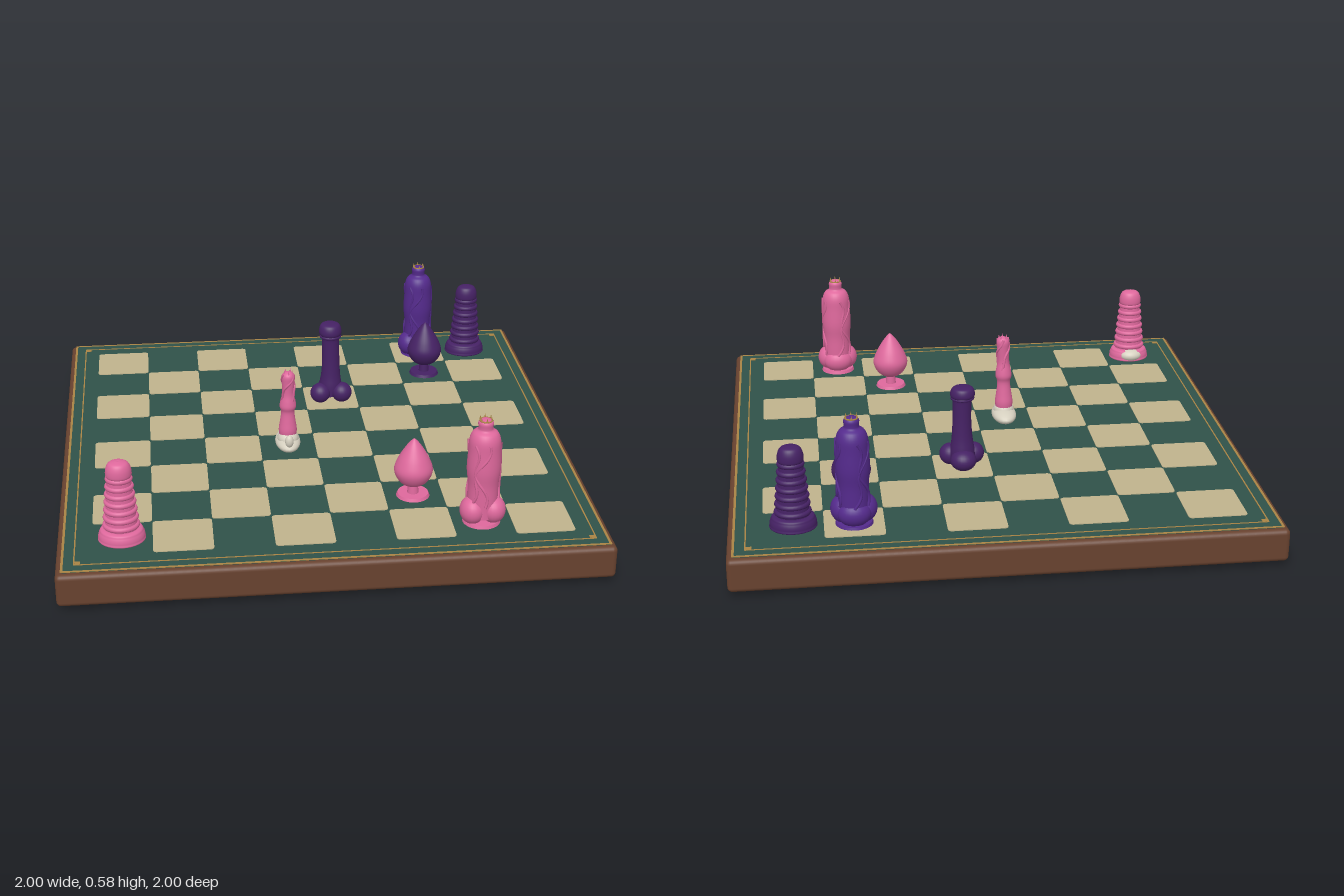
import * as THREE from 'three';
import { RoundedBoxGeometry } from 'three/addons/geometries/RoundedBoxGeometry.js';

const mat = (name, color) => Object.assign(new THREE.MeshStandardMaterial({ color }), { name });

export function createModel() {
  const root = new THREE.Group();
  root.name = 'gameBoardSet';
  const wood = mat('walnut', 0x68422f);
  const green = mat('boardGreen', 0x305249);
  const cream = mat('squareCream', 0xbfb28c);
  const gold = mat('gold', 0xa98445);
  const rubber = mat('footRubber', 0x24352f);
  const pink = mat('pink', 0xde689c);
  const purple = mat('darkPurple', 0x452164);
  const violet = mat('violet', 0x542a8c);
  const ivory = mat('ivory', 0xd6d0c0);

  const add = (parent, name, geo, m, x = 0, y = 0, z = 0) => {
    const mesh = new THREE.Mesh(geo, m);
    mesh.name = name;
    mesh.position.set(x, y, z);
    parent.add(mesh);
    return mesh;
  };
  const roundedSquare = (s, r) => {
    const h = s / 2, shape = new THREE.Shape();
    shape.absarc(h - r, h - r, r, 0, Math.PI / 2);
    shape.absarc(r - h, h - r, r, Math.PI / 2, Math.PI);
    shape.absarc(r - h, r - h, r, Math.PI, Math.PI * 1.5);
    shape.absarc(h - r, r - h, r, Math.PI * 1.5, Math.PI * 2);
    return shape;
  };
  const slab = (shape, depth) =>
    new THREE.ExtrudeGeometry(shape, { depth, bevelEnabled: false, curveSegments: 4 }).rotateX(-Math.PI / 2);

  // Board, inlaid top and feet
  const board = new THREE.Group();
  board.name = 'board';
  root.add(board);
  add(board, 'woodBase', new RoundedBoxGeometry(2, 0.126, 2, 3, 0.018), wood, 0, 0.083, 0);
  add(board, 'greenTop', new THREE.BoxGeometry(1.95, 0.012, 1.95), green, 0, 0.146, 0);
  const frame = (name, size, width, y) => {
    const s = roundedSquare(size, 0.004);
    s.holes.push(roundedSquare(size - 2 * width, 0.004));
    add(board, name, slab(s, 0.002), gold, 0, y, 0);
  };
  frame('outerGoldBorder', 1.962, 0.009, 0.151);
  frame('innerGoldLine', 1.874, 0.005, 0.1515);
  for (const sx of [-1, 1]) for (const sz of [-1, 1]) {
    const corner = add(board, 'cornerInlay', new THREE.CylinderGeometry(0.014, 0.014, 0.002, 4), gold, sx * 0.922, 0.1528, sz * 0.922);
    corner.rotation.y = Math.PI / 4;
    add(board, 'foot', new THREE.CylinderGeometry(0.062, 0.062, 0.025, 32), rubber, sx * 0.857, 0.0125, sz * 0.857);
  }
  const cell = 0.2188;
  const tile = slab(roundedSquare(cell - 0.001, 0.014), 0.004);
  for (let i = 0; i < 8; i++) for (let j = 0; j < 8; j++)
    if ((i + j) % 2 === 0) add(board, 'lightSquare', tile, cream, (i - 3.5) * cell, 0.151, (j - 3.5) * cell);

  // Smooth turned body that leans in z by a rule of height
  const turned = (pts, lean = () => 0, sub = 40) => {
    const curve = new THREE.SplineCurve(pts.map(p => new THREE.Vector2(...p)));
    const prof = curve.getPoints(sub).map(p => new THREE.Vector2(Math.max(0, p.x), p.y));
    const geo = new THREE.LatheGeometry(prof, 32), pos = geo.attributes.position;
    for (let i = 0; i < pos.count; i++) pos.setZ(i, pos.getZ(i) + lean(pos.getY(i)));
    return geo;
  };
  // Raised strand winding up a body
  const strand = (radius, y0, y1, phase, turn, thick, lean = () => 0) => {
    const pts = [];
    for (let i = 0; i <= 10; i++) {
      const t = i / 10, y = y0 + (y1 - y0) * t;
      const a = phase + turn * t + 0.25 * Math.sin(t * 9);
      const r = radius(y);
      pts.push(new THREE.Vector3(Math.sin(a) * r, y, Math.cos(a) * r + lean(y)));
    }
    return new THREE.TubeGeometry(new THREE.CatmullRomCurve3(pts), 32, thick, 6);
  };
  const ball = (parent, name, m, x, y, z, rx, ry = rx, rz = rx) =>
    add(parent, name, new THREE.SphereGeometry(1, 24, 16), m, x, y, z).scale.set(rx, ry, rz);
  const piece = (name, x, z) => {
    const g = new THREE.Group();
    g.name = name;
    g.position.set(x, 0.152, z);
    root.add(g);
    return g;
  };
  const crown = (g, m, r, y, z) => {
    const ring = add(g, 'crownBand', new THREE.TorusGeometry(r, 0.003, 6, 24), m, 0, y, z);
    ring.rotation.x = Math.PI / 2;
    for (let i = 0; i < 6; i++) {
      const a = (i * Math.PI) / 3;
      add(g, 'crownPoint', new THREE.ConeGeometry(0.004, 0.016, 6), m, Math.sin(a) * r, y + 0.008, z + Math.cos(a) * r);
    }
  };

  // Pawn: disc foot, thin stem and pointed drop
  const pawn = (x, z, m) => {
    const g = piece('pawn', x, z);
    add(g, 'foot', new THREE.CylinderGeometry(0.058, 0.063, 0.012, 32), m, 0, 0.006, 0);
    add(g, 'stem', new THREE.CylinderGeometry(0.017, 0.022, 0.05, 20), m, 0, 0.035, 0);
    add(g, 'drop', turned([[0, 0.042], [0.022, 0.044], [0.055, 0.066], [0.073, 0.108], [0.06, 0.152], [0.033, 0.2], [0.012, 0.228], [0, 0.239]]), m);
  };

  // Rook: broad foot, ringed taper and domed top
  const rook = (x, z, m, back) => {
    const g = piece('rook', x, z);
    g.scale.z = 0.9;
    add(g, 'foot', turned([[0, 0], [0.078, 0.001], [0.085, 0.015], [0.08, 0.035], [0.066, 0.048], [0, 0.052]]), m);
    add(g, 'taper', new THREE.CylinderGeometry(0.042, 0.061, 0.22, 32), m, 0, 0.15, 0);
    for (let i = 0; i < 7; i++) {
      const t = i / 6;
      const ring = add(g, 'ring', new THREE.TorusGeometry(0.058 - 0.018 * t, 0.01, 8, 32), m, 0, 0.062 + t * 0.185, 0);
      ring.rotation.x = Math.PI / 2;
    }
    add(g, 'dome', turned([[0.04, 0.25], [0.047, 0.262], [0.045, 0.288], [0.034, 0.308], [0.012, 0.315], [0, 0.315]]), m);
    if (back) ball(g, 'backPad', ivory, 0, 0.025, -0.05, 0.05, 0.028, 0.045);
  };

  // King: lobed foot, veined column and small crown
  const king = (x, z, m) => {
    const g = piece('king', x, z);
    add(g, 'foot', new THREE.CylinderGeometry(0.066, 0.07, 0.012, 32), m, 0, 0.006, 0);
    for (const s of [-1, 1]) ball(g, 'footLobe', m, s * 0.038, 0.055, 0.014, 0.047, 0.052, 0.053);
    ball(g, 'footBack', m, 0, 0.05, -0.02, 0.062, 0.05, 0.05);
    add(g, 'column', turned([[0.056, 0.03], [0.056, 0.1], [0.056, 0.16], [0.062, 0.22], [0.059, 0.29], [0.057, 0.335], [0.046, 0.362], [0.029, 0.374], [0.027, 0.385], [0.028, 0.402], [0.018, 0.413], [0, 0.416]]), m);
    for (let i = 0; i < 6; i++)
      add(g, 'vein', strand(() => 0.058, 0.08, 0.33, i * 1.05, i % 2 ? 1.1 : -0.9, 0.0055), m);
    crown(g, gold, 0.022, 0.41, 0);
  };

  // Bishop: three-lobed foot, bowed column and flared cap
  const bishop = (x, z, m) => {
    const g = piece('bishop', x, z);
    const lean = y => 0.035 * Math.sin(Math.min(1, y / 0.34) * Math.PI) - 0.01;
    for (const s of [-1, 1]) ball(g, 'footLobe', m, s * 0.045, 0.042, 0.04, 0.042);
    ball(g, 'footBack', m, 0, 0.04, -0.025, 0.05, 0.041, 0.048);
    add(g, 'column', turned([[0.048, 0.02], [0.047, 0.07], [0.04, 0.12], [0.036, 0.19], [0.036, 0.26], [0.038, 0.283], [0.047, 0.3], [0.045, 0.32], [0.036, 0.334], [0.015, 0.339], [0, 0.339]], lean), m);
    const collar = add(g, 'collar', new THREE.TorusGeometry(0.04, 0.006, 8, 28), m, 0, 0.288, lean(0.288));
    collar.rotation.x = Math.PI / 2;
  };

  // Knight: pale long foot with upturned end, slim leaning twisted column
  const knight = (x, z, m) => {
    const g = piece('knight', x, z);
    const lean = y => (y < 0.17 ? 0.015 - 0.01 * Math.sin((y / 0.17) * Math.PI) : 0.015 + (y - 0.17) * 0.16);
    ball(g, 'longFoot', ivory, 0, 0.028, 0.0, 0.05, 0.029, 0.092);
    ball(g, 'footMound', ivory, 0, 0.045, 0.01, 0.042, 0.036, 0.045);
    ball(g, 'upturnedEnd', ivory, 0, 0.062, 0.076, 0.017, 0.026, 0.016);
    add(g, 'column', turned([[0.034, 0.06], [0.036, 0.085], [0.031, 0.12], [0.026, 0.165], [0.033, 0.19], [0.03, 0.215], [0.023, 0.25], [0.025, 0.3], [0.026, 0.33], [0.016, 0.345], [0, 0.35]], lean), m);
    for (let i = 0; i < 3; i++)
      add(g, 'twistedStrand', strand(() => 0.024, 0.2, 0.342, i * 2.1, 3, 0.0055, lean), m);
    for (let i = 0; i < 5; i++) {
      const a = i * 1.257;
      add(g, 'topPoint', new THREE.ConeGeometry(0.004, 0.016, 6), m, Math.sin(a) * 0.016, 0.35, lean(0.345) + Math.cos(a) * 0.016);
    }
  };

  rook(-0.766, 0.766, pink, true);
  knight(-0.11, 0.105, pink);
  pawn(0.326, 0.546, pink);
  king(0.546, 0.764, pink);
  bishop(0.108, -0.336, purple);
  pawn(0.545, -0.546, purple);
  king(0.546, -0.766, violet);
  rook(0.764, -0.766, purple, false);
  return root;
}
